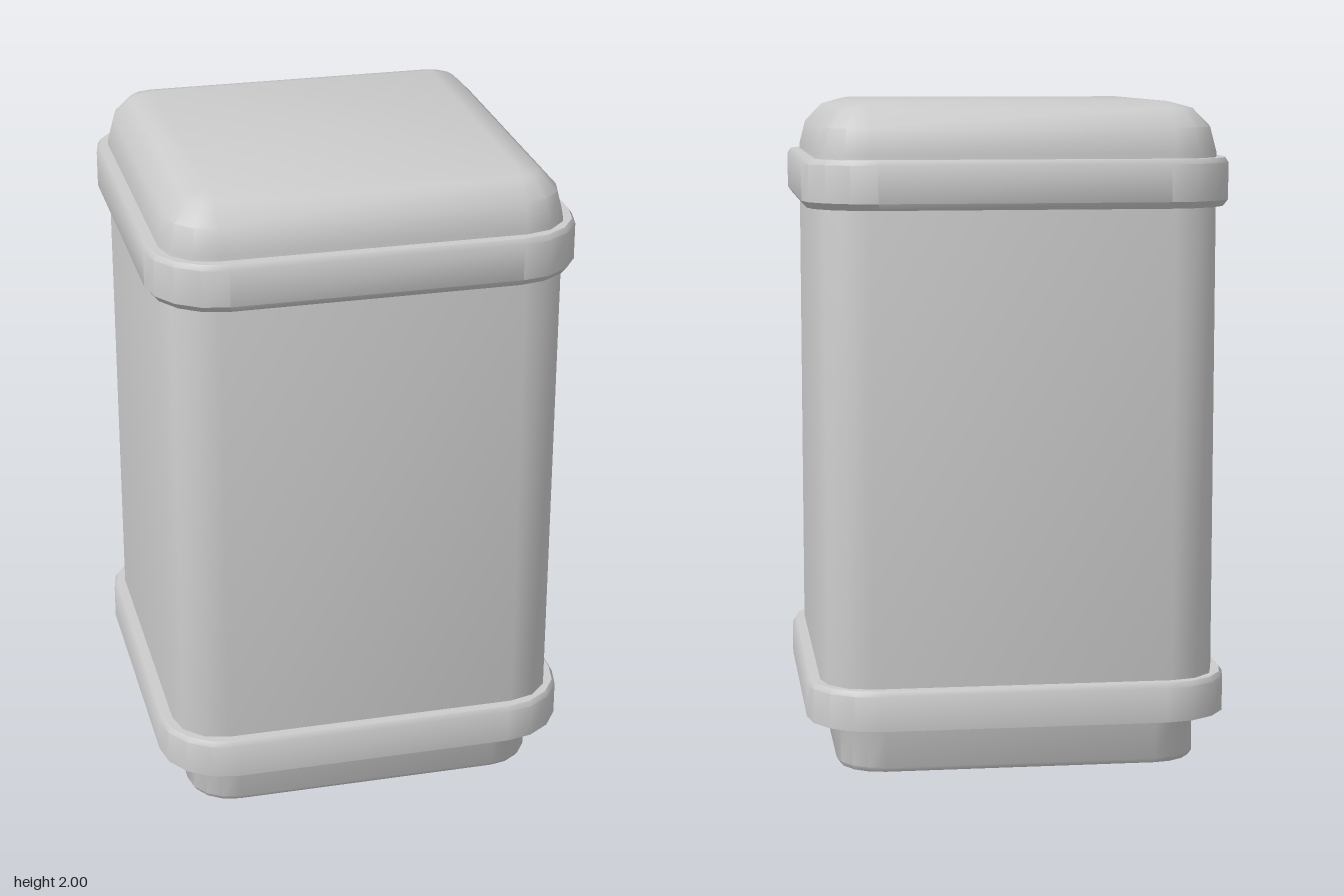
import * as THREE from 'three';
import { toCreasedNormals } from 'three/addons/utils/BufferGeometryUtils.js';

const material = new THREE.MeshStandardMaterial({ color: 0xcccccc });

// One rounded-square ring: half width, corner radius, height
function ring([half, radius, y], segments) {
  const points = [];
  for (let corner = 0; corner < 4; corner++) {
    const mid = (corner + 0.5) * Math.PI / 2;
    const cx = Math.sign(Math.cos(mid)) * (half - radius);
    const cz = Math.sign(Math.sin(mid)) * (half - radius);
    for (let i = 0; i <= segments; i++) {
      const a = (corner + i / segments) * Math.PI / 2;
      points.push(new THREE.Vector3(cx + radius * Math.cos(a), y, cz + radius * Math.sin(a)));
    }
  }
  return points;
}

// Skin a list of rings; the profile runs up the outside and down the inside
function loft(name, profile, segments) {
  const rings = profile.map((p) => ring(p, segments));
  const positions = [];
  const triangle = (a, b, c) => {
    const area = b.clone().sub(a).cross(c.clone().sub(a)).length();
    if (area > 1e-8) for (const p of [a, b, c]) positions.push(p.x, p.y, p.z);
  };
  for (let i = 0; i < rings.length - 1; i++) {
    const n = rings[i].length;
    for (let j = 0; j < n; j++) {
      const k = (j + 1) % n;
      triangle(rings[i][j], rings[i + 1][j], rings[i][k]);
      triangle(rings[i][k], rings[i + 1][j], rings[i + 1][k]);
    }
  }
  const geometry = new THREE.BufferGeometry();
  geometry.setAttribute('position', new THREE.Float32BufferAttribute(positions, 3));
  const mesh = new THREE.Mesh(toCreasedNormals(geometry, 0.65), material);
  mesh.name = name;
  return mesh;
}

export function createModel() {
  const group = new THREE.Group();
  group.name = 'canister';

  // Body with a domed top, hollow from below
  const body = [[0.6, 0.15, 0.25]];
  for (let i = 0; i <= 3; i++) {
    const a = i * Math.PI / 6;
    const r = 0.15 * Math.cos(a);
    body.push([0.45 + r, r, 1.85 + 0.15 * Math.sin(a)]);
  }
  body.push([0, 0, 2]);
  group.add(loft('body', body, 3));
  group.add(loft('innerWall', [
    [0, 0, 1.95], [0.45, 0.08, 1.95], [0.55, 0.12, 1.85], [0.55, 0.12, 0.27],
  ], 4));

  // Band under the lid
  group.add(loft('upperBand', [
    [0.59, 0.15, 1.69], [0.625, 0.2, 1.69], [0.64, 0.21, 1.71],
    [0.64, 0.21, 1.82], [0.63, 0.2, 1.835], [0.59, 0.15, 1.835],
  ], 4));

  // Open base collar, flared into the lower band
  group.add(loft('base', [
    [0.51, 0.11, 0.01], [0.515, 0.11, 0], [0.54, 0.13, 0], [0.55, 0.14, 0.015],
    [0.55, 0.14, 0.125], [0.555, 0.14, 0.14], [0.57, 0.15, 0.15],
    [0.64, 0.21, 0.15], [0.64, 0.21, 0.255], [0.63, 0.2, 0.27],
    [0.55, 0.12, 0.27], [0.51, 0.11, 0.27], [0.51, 0.11, 0.01],
  ], 4));

  return group;
}
